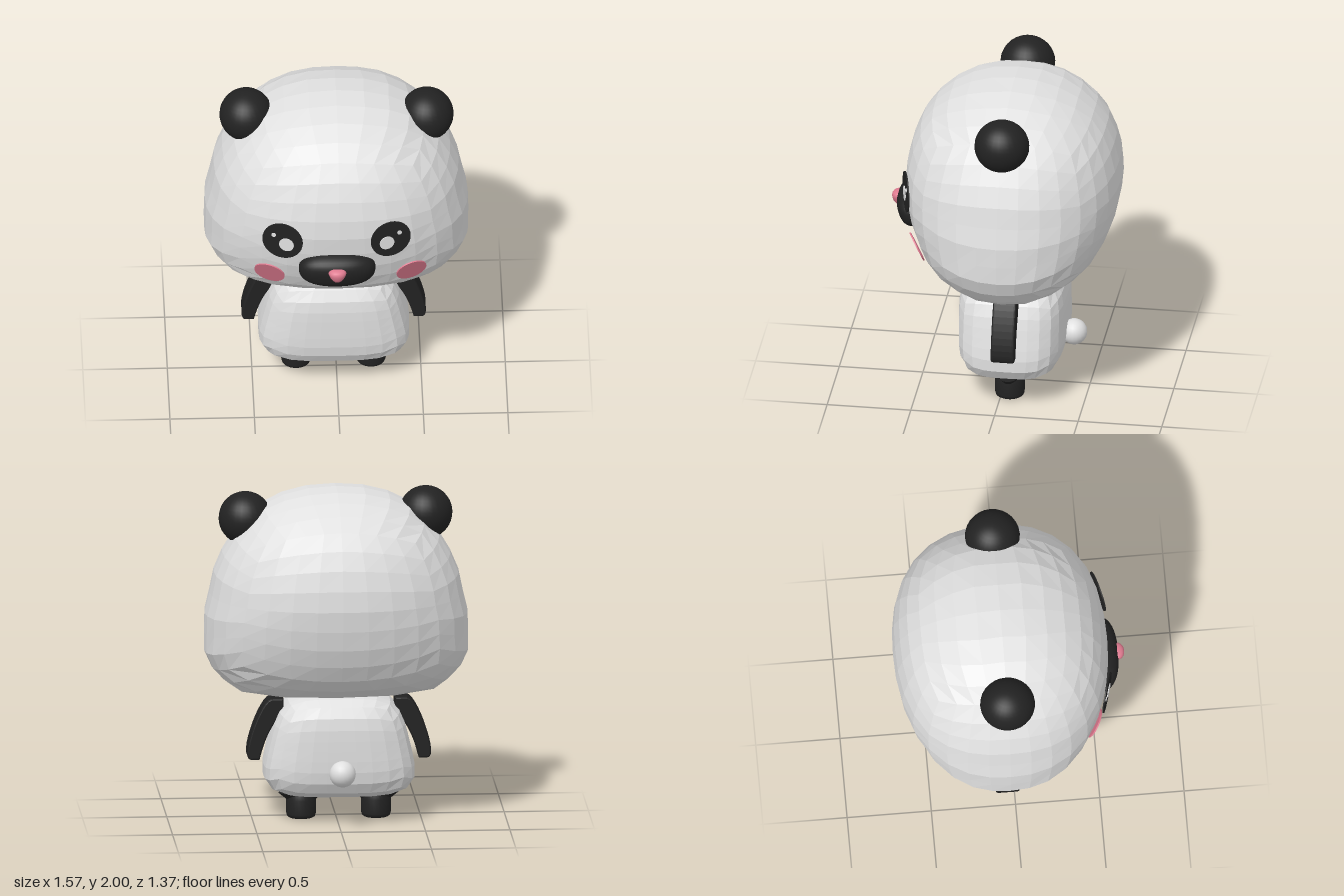
import * as THREE from 'three';
import { mergeVertices } from 'three/addons/utils/BufferGeometryUtils.js';

const CX = -0.015; // body and facial features sit slightly off centre
const CZ = -0.05;

function material(name, color, flatShading = false) {
  const m = new THREE.MeshStandardMaterial({ color, flatShading });
  m.name = name;
  return m;
}

// Piecewise-linear lookup in [[t, value], ...]
function lookup(table, t) {
  for (let i = 1; i < table.length; i++) {
    const [a, va] = table[i - 1], [b, vb] = table[i];
    if (t <= b) return va + (vb - va) * THREE.MathUtils.clamp((t - a) / (b - a), 0, 1);
  }
  return table[table.length - 1][1];
}

// Rounded cube: p rounds the upright outline, q the level sections;
// halfX and halfZ give the half width and depth for a height from -1 to 1.
function blob(segs, p, q, halfX, halfY, halfZ) {
  const geo = new THREE.BoxGeometry(2, 2, 2, segs, segs, segs);
  geo.deleteAttribute('uv');
  geo.deleteAttribute('normal');
  const pos = geo.attributes.position;
  const warp = (c) => Math.tan(c * Math.PI / 4);
  const norm = (e, ...v) => Math.pow(v.reduce((s, c) => s + Math.abs(c) ** e, 0), 1 / e);
  for (let i = 0; i < pos.count; i++) {
    let x = warp(pos.getX(i)), y = warp(pos.getY(i)), z = warp(pos.getZ(i));
    const n = norm(p, x, y, z);
    x /= n; y /= n; z /= n;
    const flat = norm(q, x, z);
    const k = flat > 1e-6 ? norm(p, x, z) / flat : 1;
    pos.setXYZ(i, x * k * halfX(y), y * halfY, z * k * halfZ(y));
  }
  const merged = mergeVertices(geo, 1e-5);
  merged.computeVertexNormals();
  return merged;
}

export function createModel() {
  const model = new THREE.Group();
  model.name = 'panda';
  const fur = material('white fur', 0xe0e0e0, true);
  const white = material('white', 0xe0e0e0);
  white.color.copy(fur.color);
  const black = material('black', 0x222222);
  const pink = material('pink', 0xde7a8f);

  function add(name, geo, mat, x, y, z, parent = model) {
    const mesh = new THREE.Mesh(geo, mat);
    mesh.name = name;
    mesh.position.set(x, y, z);
    parent.add(mesh);
    return mesh;
  }

  // Thin round plate facing local +z
  function disc(name, r, mat, x, y, z, parent) {
    const geo = new THREE.CylinderGeometry(r, r, 0.008, 32).rotateX(Math.PI / 2);
    return add(name, geo, mat, x, y, z, parent);
  }

  // Head: wide low jowls, round from the side
  const headWidth = [[-1, 1.75], [-0.95, 1.6], [-0.82, 1.17], [-0.667, 1.0], [-0.35, 0.83],
    [0, 0.75], [0.35, 0.73], [0.7, 0.73], [0.9, 0.8], [1, 0.85]];
  const headDepth = [[-1, 0.8], [-0.9, 0.77], [-0.75, 0.72], [-0.5, 0.655], [-0.2, 0.635],
    [0.3, 0.637], [0.85, 0.68], [1, 0.7]];
  add('head', blob(8, 2, 2.35, (y) => lookup(headWidth, y), 0.632, (y) => lookup(headDepth, y)),
    fur, 0, 1.368, CZ);

  // Body: rounded block, wider at the bottom
  add('body', blob(8, 4, 3.6, (y) => 0.42 - 0.073 * y, 0.31, () => 0.316), fur, CX, 0.455, CZ);

  // Tail
  add('tail', new THREE.SphereGeometry(0.078, 20, 14), white, CX, 0.33, -0.402);

  // Muzzle and nose
  const muzzle = add('muzzle', blob(10, 2.5, 2.3, () => 0.227, 0.115, () => 0.1), black, -0.012, 1.135, 0.545);
  muzzle.rotation.x = 0.3;
  add('nose', blob(8, 2.4, 2.2, (y) => 0.048 + 0.02 * y, 0.047, (y) => 0.045 + 0.012 * y),
    pink, -0.013, 1.148, 0.638);

  // Arm outline, drawn for the left side
  const armShape = new THREE.Shape();
  armShape.moveTo(0.34, 0.72);
  armShape.lineTo(0.4, 0.72);
  armShape.bezierCurveTo(0.45, 0.71, 0.53, 0.5, 0.535, 0.41);
  armShape.quadraticCurveTo(0.538, 0.37, 0.52, 0.37);
  armShape.lineTo(0.48, 0.37);
  armShape.bezierCurveTo(0.46, 0.45, 0.42, 0.58, 0.34, 0.64);
  const armGeo = new THREE.ExtrudeGeometry(armShape, {
    depth: 0.11, bevelThickness: 0.015, bevelSize: 0.01, bevelSegments: 3, curveSegments: 10,
  });
  armGeo.translate(0, 0, -0.055);

  const legGeo = new THREE.LatheGeometry(
    [[0, 0], [0.07, 0], [0.083, 0.008], [0.088, 0.025], [0.088, 0.11], [0.075, 0.14], [0.06, 0.19]]
      .map(([r, y]) => new THREE.Vector2(r, y)), 28);
  const hipGeo = new THREE.CylinderGeometry(0.135, 0.08, 0.045, 28).scale(1, 1, 0.55);

  for (const [side, s] of [['left', 1], ['right', -1]]) {
    // Ears
    const ear = add(side + 'Ear', new THREE.SphereGeometry(0.158, 28, 20), black, s * 0.535 + 0.003, 1.825 - s * 0.01, CZ);
    ear.scale.z = 1.03;

    // Arms: a half turn makes the opposite one
    const arm = add(side + 'Arm', armGeo, black, CX, 0, CZ);
    if (s < 0) arm.rotation.y = Math.PI;

    // Legs with a flared hip
    add(side + 'Leg', legGeo, black, CX + s * 0.222, 0, CZ);
    add(side + 'Hip', hipGeo, black, CX + s * 0.222, 0.125, CZ);

    // Eyes with pupil and glint
    const eye = new THREE.Group();
    eye.name = side + 'Eye';
    eye.position.set(CX + s * 0.32, 1.35, 0.557);
    eye.rotation.y = s * 0.28;
    model.add(eye);
    disc('eyePatch', 0.123, black, 0, 0, 0, eye);
    disc('pupil', 0.045, white, -s * 0.025, -0.022, 0.004, eye);
    disc('glint', 0.014, white, s * 0.053, 0.037, 0.004, eye);

    // Cheeks, laid against the jowls
    const cheek = disc(side + 'Cheek', 0.093, pink, 0.01 + s * 0.42, 1.055, 0.473);
    cheek.lookAt(cheek.position.clone().add(new THREE.Vector3(s * 0.36, -0.48, 1)));
  }
  return model;
}
